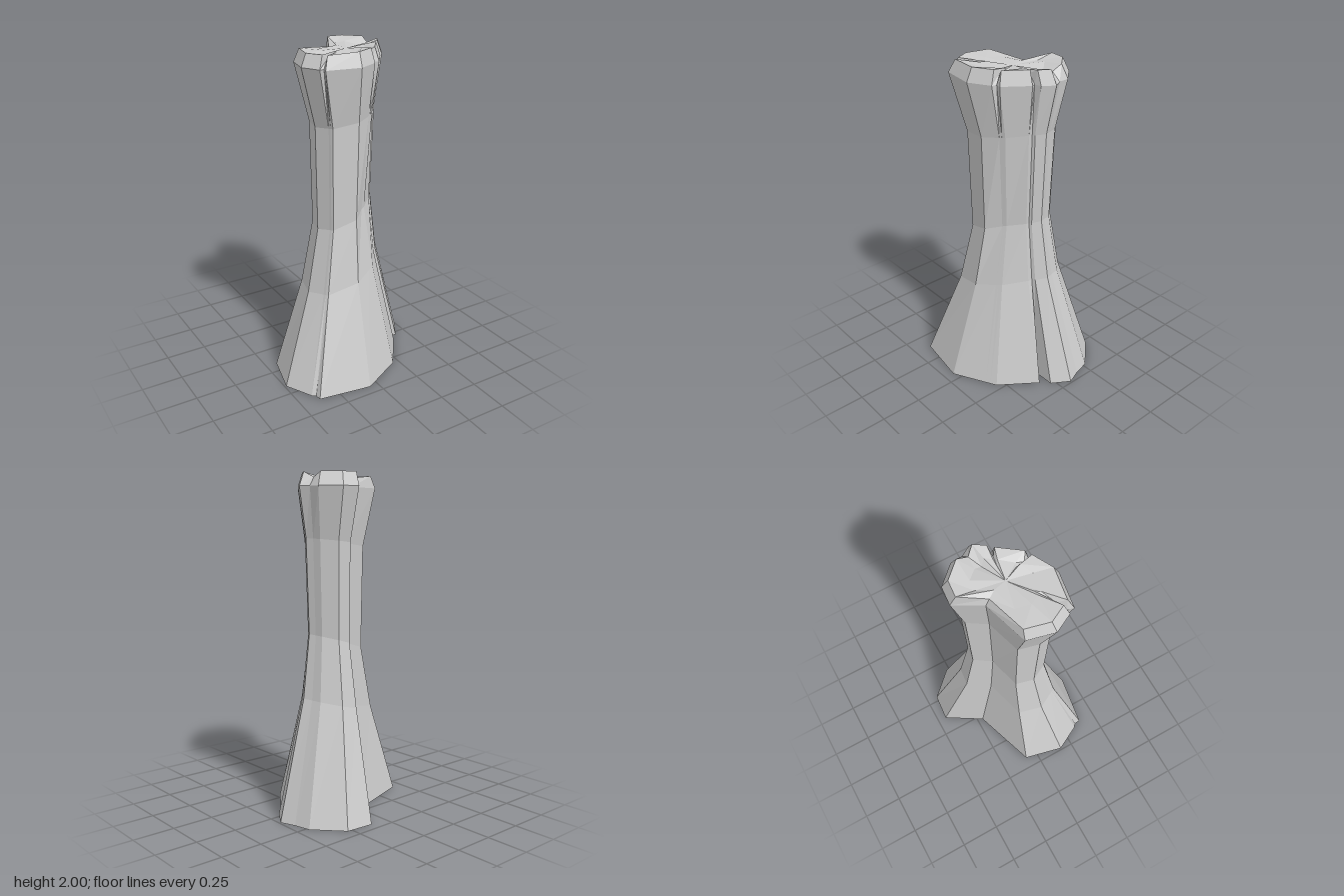
import * as THREE from 'three';

// Footprint corners: x, z, crack cut at the foot, crack cut at the crown (1 = none)
const FOOTPRINT = [
  [-0.43, -0.08, 1, 1], [-0.49, 0.17, 1, 1],
  [-0.405, 0.335, 1, 1], [-0.395, 0.362, 0.97, 0.84], [-0.38, 0.39, 1, 1],
  [-0.055, 0.44, 1, 1],
  [0.145, 0.334, 1, 1], [0.172, 0.32, 1, 0.8], [0.21, 0.3, 1, 1],
  [0.37, 0.08, 1, 1], [0.385, 0.045, 0.68, 0.82], [0.42, 0.03, 1, 1],
  [0.49, -0.08, 1, 1], [0.455, -0.17, 1, 0.93], [0.43, -0.27, 1, 1],
  [0.28, -0.43, 1, 1], [0.11, -0.445, 1, 1], [-0.03, -0.215, 1, 0.88],
];

// Height, rise toward +x, scale of the footprint, sideways shift
const LEVELS = [
  { y: 0, tilt: 0, scale: 1, shift: 0, foot: true },
  { y: 0.63, tilt: 0.14, scale: 0.585, shift: 0 },
  { y: 1.01, tilt: 0.13, scale: 0.445, shift: 0.015, waist: true },
  { y: 1.6, tilt: 0.06, scale: 0.48, shift: 0.02 },
  { y: 1.92, tilt: 0, scale: 0.635, shift: 0, rim: true },
  { y: 1.995, tilt: 0, scale: 0.56, shift: 0, crown: true },
];

function levelRing(level) {
  return FOOTPRINT.map(([x, z, footCut, crownCut], i) => {
    let s = level.scale;
    if (level.foot) s *= footCut;
    if (level.rim) s *= (1 + crownCut) / 2;
    if (level.crown) s *= crownCut;
    // the front left corner is worn flat at the waist
    if (level.waist && i >= 6 && i <= 8) s *= 0.85;
    let y = level.y + level.tilt * x;
    if (level.crown) y = Math.min(2, y + 0.02 * (x + 0.3)) - (crownCut < 1 ? 0.03 : 0);
    return new THREE.Vector3(x * s + level.shift, y, z * s);
  });
}

function rockMesh(name, triangles) {
  const geometry = new THREE.BufferGeometry().setFromPoints(triangles);
  geometry.computeVertexNormals();
  const material = new THREE.MeshStandardMaterial({
    color: 0xcccccc, flatShading: true, side: THREE.DoubleSide,
  });
  const mesh = new THREE.Mesh(geometry, material);
  mesh.name = name;
  return mesh;
}

// Join two rings with a band of triangles
function band(lower, upper, out) {
  lower.forEach((a, i) => {
    const j = (i + 1) % lower.length;
    out.push(a, lower[j], upper[j], a, upper[j], upper[i]);
  });
}

export function createModel() {
  const group = new THREE.Group();
  group.name = 'rockPillar';
  const rings = LEVELS.map(levelRing);

  // Flared, waisted column, open underneath
  const column = [];
  for (let l = 0; l < rings.length - 1; l++) band(rings[l], rings[l + 1], column);
  group.add(rockMesh('column', column));

  // Broken top: uneven facets with a shallow crack across the back
  const crown = rings[rings.length - 1];
  const inner = crown.map((p, i) => {
    const x = p.x * 0.6 + 0.02, z = p.z * 0.6;
    const crack = Math.max(0, 1 - Math.abs(z + 0.1 - 0.15 * x) / 0.05);
    return new THREE.Vector3(x, 1.982 + 0.008 * Math.sin(i * 2.3) - 0.03 * crack, z);
  });
  const top = [];
  band(crown, inner, top);
  const hub = new THREE.Vector3(0.03, 1.975, 0.01);
  inner.forEach((p, i) => top.push(p, inner[(i + 1) % inner.length], hub));
  group.add(rockMesh('brokenTop', top));

  return group;
}
